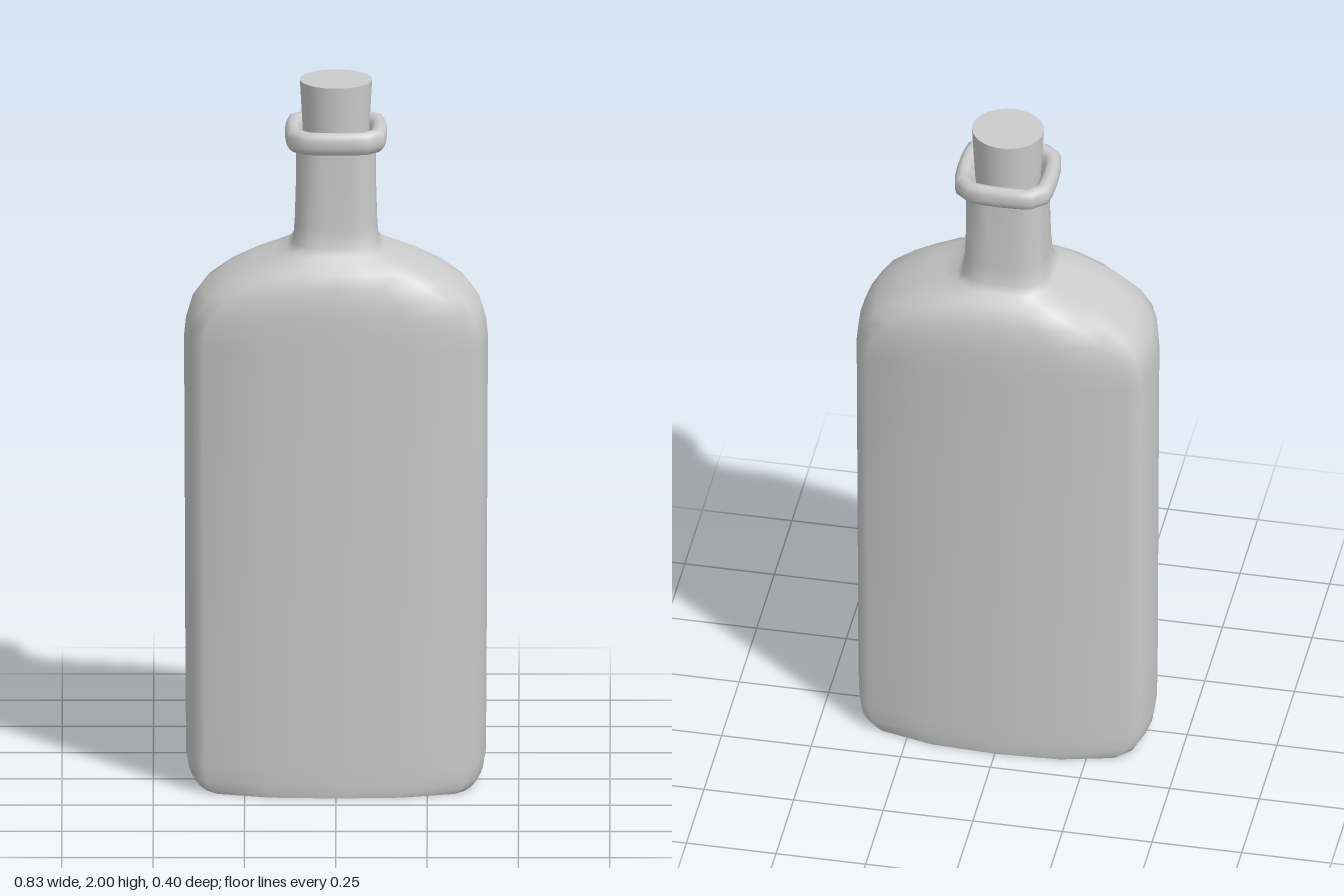
import * as THREE from 'three';

// Quarter outlines (unit half-widths), from +x round to +z
const FLASK = [[1, 0], [0.985, 0.32], [0.95, 0.61], [0.875, 0.765], [0.48, 0.955], [0, 1]];
const SQUARE = [[1, 0], [0.985, 0.38], [0.93, 0.7], [0.65, 0.95], [0.35, 0.985], [0, 1]];

// Mirrors a blend of the two quarter outlines into a closed loop
function outline(blend) {
  const q = FLASK.map(([x, z], i) => [
    THREE.MathUtils.lerp(x, SQUARE[i][0], blend),
    THREE.MathUtils.lerp(z, SQUARE[i][1], blend),
  ]);
  const half = [...q, ...q.slice(0, -1).reverse().map(([x, z]) => [-x, z])];
  return [...half, ...half.slice(1, -1).reverse().map(([x, z]) => [x, -z])];
}

// Skins sections [y, halfX, halfZ, blend] from bottom to top
function loft(sections) {
  const pos = [], index = [], n = outline(0).length;
  sections.forEach(([y, hx, hz, blend]) =>
    outline(blend).forEach(([x, z]) => pos.push(x * hx, y, z * hz)));
  for (let i = 0; i < sections.length - 1; i++) {
    for (let j = 0; j < n; j++) {
      const a = i * n + j, b = i * n + (j + 1) % n;
      index.push(a, a + n, b, b, a + n, b + n);
    }
  }
  const g = new THREE.BufferGeometry();
  g.setAttribute('position', new THREE.Float32BufferAttribute(pos, 3));
  g.setIndex(index);
  g.computeVertexNormals();
  return g;
}

export function createModel() {
  const group = new THREE.Group();
  const material = new THREE.MeshStandardMaterial({ color: 0xcccccc, side: THREE.DoubleSide });
  const add = (name, geometry) => {
    const mesh = new THREE.Mesh(geometry, material);
    mesh.name = name;
    group.add(mesh);
    return mesh;
  };

  // Flat flask body, sloping shoulders and square neck in one skin
  add('bottleBody', loft([
    [0, 0.37, 0.187, 0],
    [0.012, 0.388, 0.189, 0],
    [0.035, 0.402, 0.19, 0],
    [0.08, 0.41, 0.191, 0],
    [0.25, 0.412, 0.192, 0],
    [0.8, 0.414, 0.196, 0],
    [1.27, 0.416, 0.2, 0],
    [1.32, 0.411, 0.2, 0],
    [1.365, 0.398, 0.2, 0.1],
    [1.41, 0.365, 0.197, 0.2],
    [1.455, 0.3, 0.19, 0.4],
    [1.49, 0.225, 0.176, 0.6],
    [1.513, 0.168, 0.154, 0.8],
    [1.53, 0.132, 0.13, 1],
    [1.55, 0.117, 0.115, 1],
    [1.6, 0.113, 0.111, 1],
    [1.7, 0.11, 0.109, 1],
    [1.82, 0.11, 0.108, 1],
  ]));

  // Base
  const base = new THREE.Shape(outline(0).map(([x, z]) => new THREE.Vector2(x * 0.37, z * 0.187)));
  const baseMesh = add('bottleBase', new THREE.ShapeGeometry(base));
  baseMesh.rotation.x = Math.PI / 2;

  // Rounded lip that closes in on the stopper
  add('lip', loft([
    [1.815, 0.107, 0.105, 1],
    [1.816, 0.126, 0.116, 1],
    [1.825, 0.136, 0.125, 1],
    [1.84, 0.14, 0.129, 1],
    [1.858, 0.14, 0.129, 1],
    [1.872, 0.135, 0.125, 1],
    [1.879, 0.124, 0.114, 1],
    [1.877, 0.108, 0.103, 1],
    [1.865, 0.098, 0.094, 1],
    [1.83, 0.085, 0.08, 1],
  ]));

  // Tapered stopper, slightly oval
  const stopper = add('stopper', new THREE.CylinderGeometry(0.099, 0.088, 0.2, 32));
  stopper.position.y = 1.9;
  stopper.scale.z = 0.93;

  return group;
}
